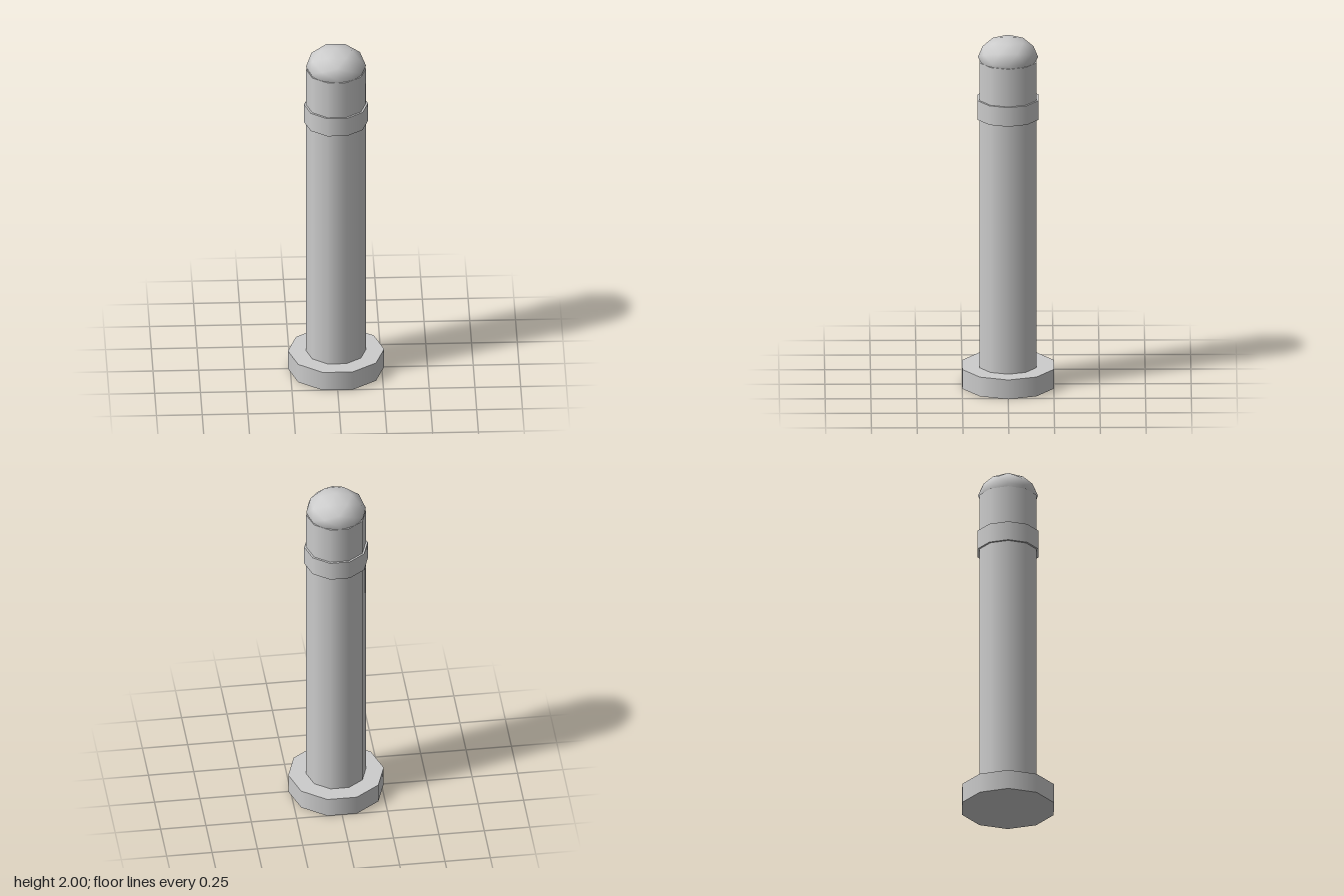
import * as THREE from 'three';

export function createModel() {
  const group = new THREE.Group();
  const grey = new THREE.MeshStandardMaterial({ color: 0xcccccc });
  grey.name = 'light grey';

  // Ten-sided drum from y0 to y1, with corners on the x axis
  function drum(name, radius, y0, y1) {
    const geometry = new THREE.CylinderGeometry(radius, radius, y1 - y0, 10);
    geometry.rotateY(Math.PI / 2);
    const mesh = new THREE.Mesh(geometry, grey);
    mesh.name = name;
    mesh.position.y = (y0 + y1) / 2;
    group.add(mesh);
  }

  drum('baseFlange', 0.263, 0, 0.111);
  drum('post', 0.164, 0.1, 1.867);
  drum('collar', 0.175, 1.54, 1.65);

  // Flattened rounded cap, its lower half sunk into the post
  const capGeometry = new THREE.IcosahedronGeometry(0.164, 1);
  capGeometry.scale(1, 0.7, 1);
  const cap = new THREE.Mesh(capGeometry, grey);
  cap.name = 'domeCap';
  cap.position.y = 2 - 0.164 * 0.7;
  group.add(cap);

  return group;
}
